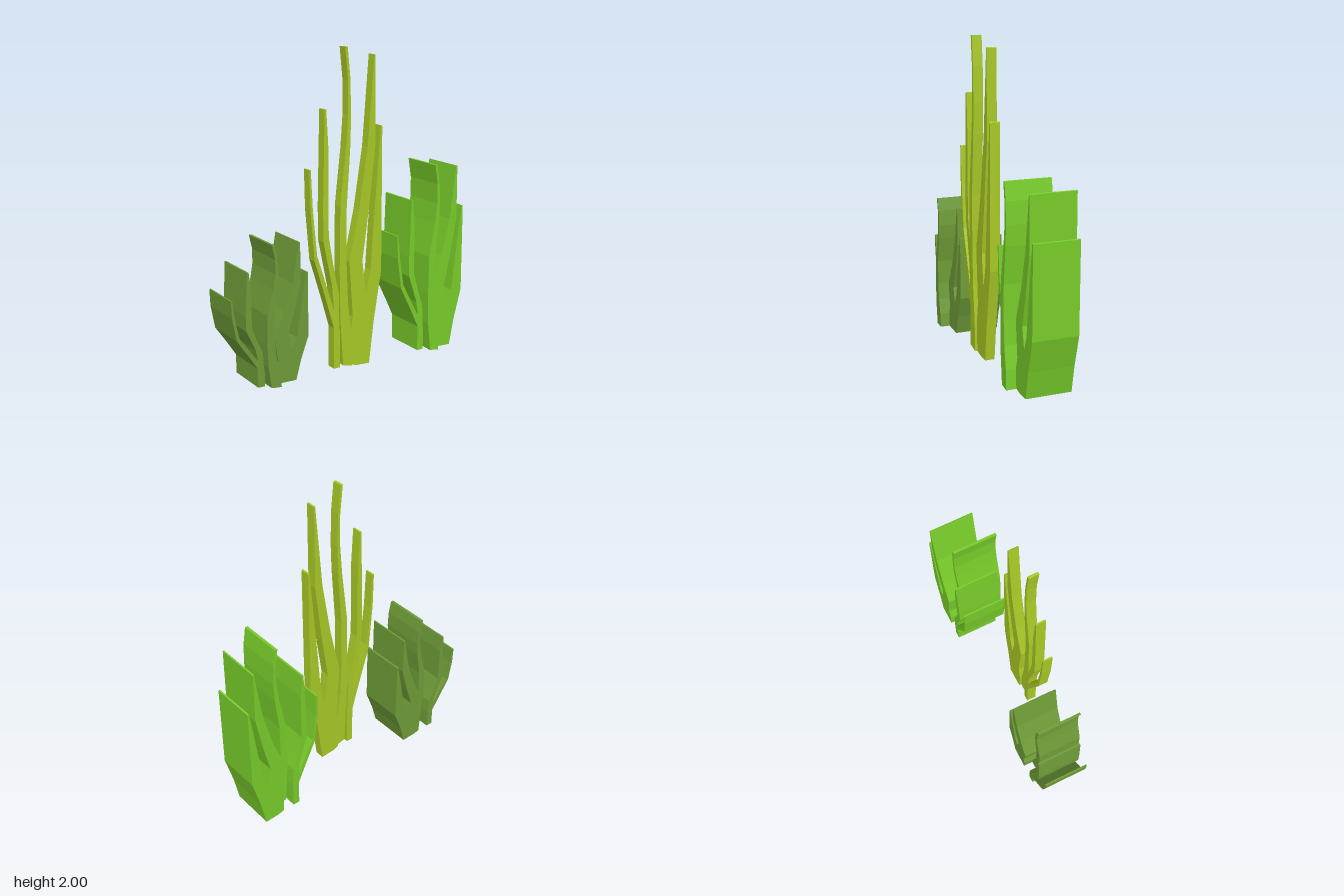
import * as THREE from 'three';

// Blade outlines, shared by all three plants
const leftBlade = [
  [-0.148, 0.015], [-0.103, 0.015], [-0.103, 0.3], [-0.113, 0.5], [-0.145, 0.65],
  [-0.183, 0.87], [-0.183, 1.4], [-0.197, 1.64], [-0.208, 1.64], [-0.222, 1.05],
  [-0.22, 0.84], [-0.16, 0.55], [-0.147, 0.4], [-0.2, 0.56], [-0.265, 0.76],
  [-0.293, 1.05], [-0.305, 1.29], [-0.315, 1.29], [-0.31, 1.05], [-0.283, 0.73],
  [-0.2, 0.46], [-0.148, 0.28],
];
const middleBlade = [
  [-0.09, 0.03], [-0.023, 0.015], [-0.03, 0.21], [-0.055, 0.44], [-0.065, 0.68],
  [-0.065, 1.03], [-0.04, 1.4], [-0.034, 1.6], [-0.04, 1.82], [-0.058, 2],
  [-0.075, 2], [-0.055, 1.8], [-0.055, 1.6], [-0.07, 1.4], [-0.11, 1.05],
  [-0.115, 0.65], [-0.11, 0.33],
];
const rightBlade = [
  [0.013, 0.005], [0.113, 0], [0.147, 0.28], [0.2, 0.6], [0.2, 1.51], [0.19, 1.515],
  [0.14, 0.89], [0.12, 0.61], [0.087, 0.465], [0.06, 0.68], [0.105, 1.0],
  [0.15, 1.39], [0.148, 1.94], [0.14, 1.945], [0.095, 1.39], [0.035, 1.01],
  [-0.035, 0.69], [-0.01, 0.33], [-0.03, 0.21], [-0.024, 0.02],
];

// A flat blade extruded from zBack to zFront
function blade(name, points, zBack, zFront, material) {
  const shape = new THREE.Shape(points.map(([x, y]) => new THREE.Vector2(x, y)));
  const geometry = new THREE.ExtrudeGeometry(shape, { depth: zFront - zBack, bevelEnabled: false });
  const mesh = new THREE.Mesh(geometry, material);
  mesh.name = name;
  mesh.position.z = zBack;
  return mesh;
}

// A plant of three blades, the middle one standing further forward
function plant({ name, color, x, height, side, middle }) {
  const group = new THREE.Group();
  group.name = name;
  const material = new THREE.MeshStandardMaterial({ color, flatShading: true });
  group.add(
    blade('leftmostBlade', leftBlade, ...side, material),
    blade('middleBlade', middleBlade, ...middle, material),
    blade('rightmostBlade', rightBlade, ...side, material),
  );
  group.position.x = x;
  group.scale.y = height / 2;
  return group;
}

export function createModel() {
  const model = new THREE.Group();
  model.name = 'seaweed';
  const wide = { side: [-0.175, 0.115], middle: [-0.112, 0.178] };
  const thin = { side: [0.052, 0.115], middle: [0.067, 0.13] };
  model.add(
    plant({ name: 'shortPlant', color: 0x6f9c38, x: -0.53, height: 0.89, ...wide }),
    plant({ name: 'tallPlant', color: 0xa8c926, x: 0, height: 2, ...thin }),
    plant({ name: 'mediumPlant', color: 0x78cc2a, x: 0.637, height: 1.24, ...wide }),
  );
  return model;
}
